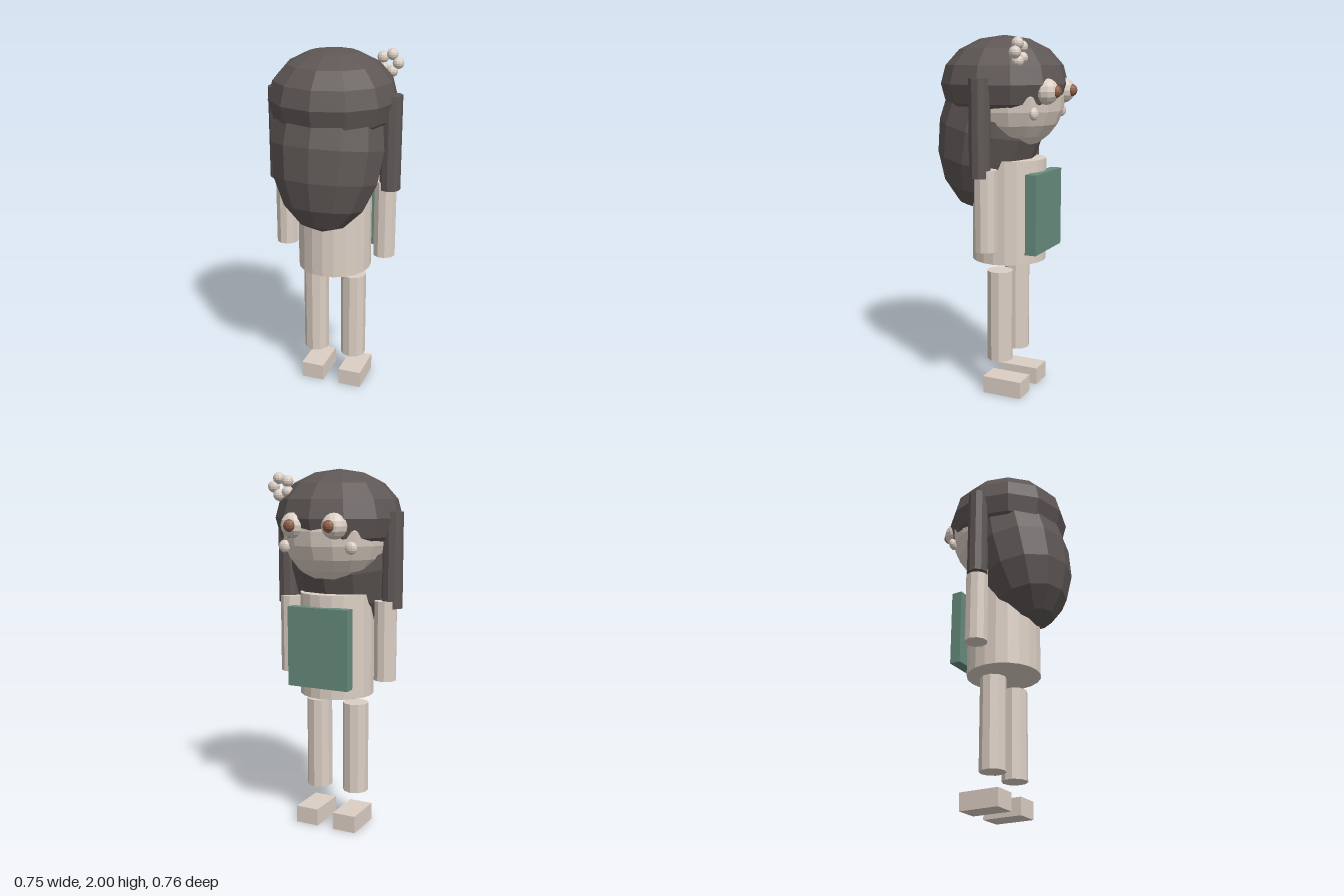
import * as THREE from 'three';

const mat = (name, color) => {
  const m = new THREE.MeshStandardMaterial({ color, flatShading: true });
  m.name = name;
  return m;
};

export function createModel() {
  const pale = mat('pale skin', 0xdccfc4);
  const hair = mat('dark hair', 0x5e5755);
  const brown = mat('brown iris', 0x8e5e48);
  const green = mat('green panel', 0x678c7e);

  const model = new THREE.Group();
  model.name = 'figure';

  const add = (name, geometry, material, x, y, z) => {
    const mesh = new THREE.Mesh(geometry, material);
    mesh.name = name;
    mesh.position.set(x, y, z);
    model.add(mesh);
    return mesh;
  };
  const ball = (name, material, x, y, z, rx, ry = rx, rz = rx, w = 12, h = 8) =>
    add(name, new THREE.SphereGeometry(1, w, h).scale(rx, ry, rz), material, x, y, z);
  const post = (name, material, x, z, y0, y1, r, sides, start = 0) =>
    add(name, new THREE.CylinderGeometry(r, r, y1 - y0, sides, 1, false, start), material, x, (y0 + y1) / 2, z);

  // Torso and the panel worn on it
  post('torso', pale, 0, -0.027, 0.765, 1.335, 0.207, 20);
  add('panel', new THREE.BoxGeometry(0.36, 0.437, 0.063), green, 0, 1.051, -0.236);

  // Head, hair cap and the long hair leaning outward at its foot
  ball('head', pale, 0, 1.675, -0.035, 0.3, 0.3, 0.3, 16, 12);
  ball('hairCap', hair, 0, 1.74, 0, 0.35, 0.26, 0.35);
  const longHair = ball('longHair', hair, 0, 1.495, 0.082, 0.313, 0.47, 0.285);
  longHair.rotation.x = -THREE.MathUtils.degToRad(12);

  // Paired parts
  for (const [side, s] of [['left', 1], ['right', -1]]) {
    add(side + 'Foot', new THREE.BoxGeometry(0.135, 0.097, 0.23), pale, s * 0.117, 0.0485, -0.066);
    post(side + 'Leg', pale, s * 0.115, -0.025, 0.198, 0.715, 0.0725, 10);
    post(side + 'Arm', pale, s * 0.293, -0.027, 0.863, 1.3, 0.0625, 10, Math.PI / 2);
    post(side + 'Sidelock', hair, s * 0.322, -0.008, 1.26, 1.775, 0.057, 10);
    ball(side + 'Eye', pale, s * 0.12, 1.705, -0.293, 0.07);
    ball(side + 'Iris', brown, s * 0.115, 1.705, -0.345, 0.034);
    ball(side + 'Cheek', pale, s * 0.197, 1.592, -0.26, 0.035, 0.034, 0.022);
  }

  // Five-petal flower on the hair
  for (let i = 0; i < 5; i++) {
    const a = (i * Math.PI * 2) / 5;
    ball('flowerPetal', pale, 0.25 + 0.047 * Math.cos(a), 1.905 + 0.047 * Math.sin(a), -0.197, 0.032);
  }

  return model;
}
